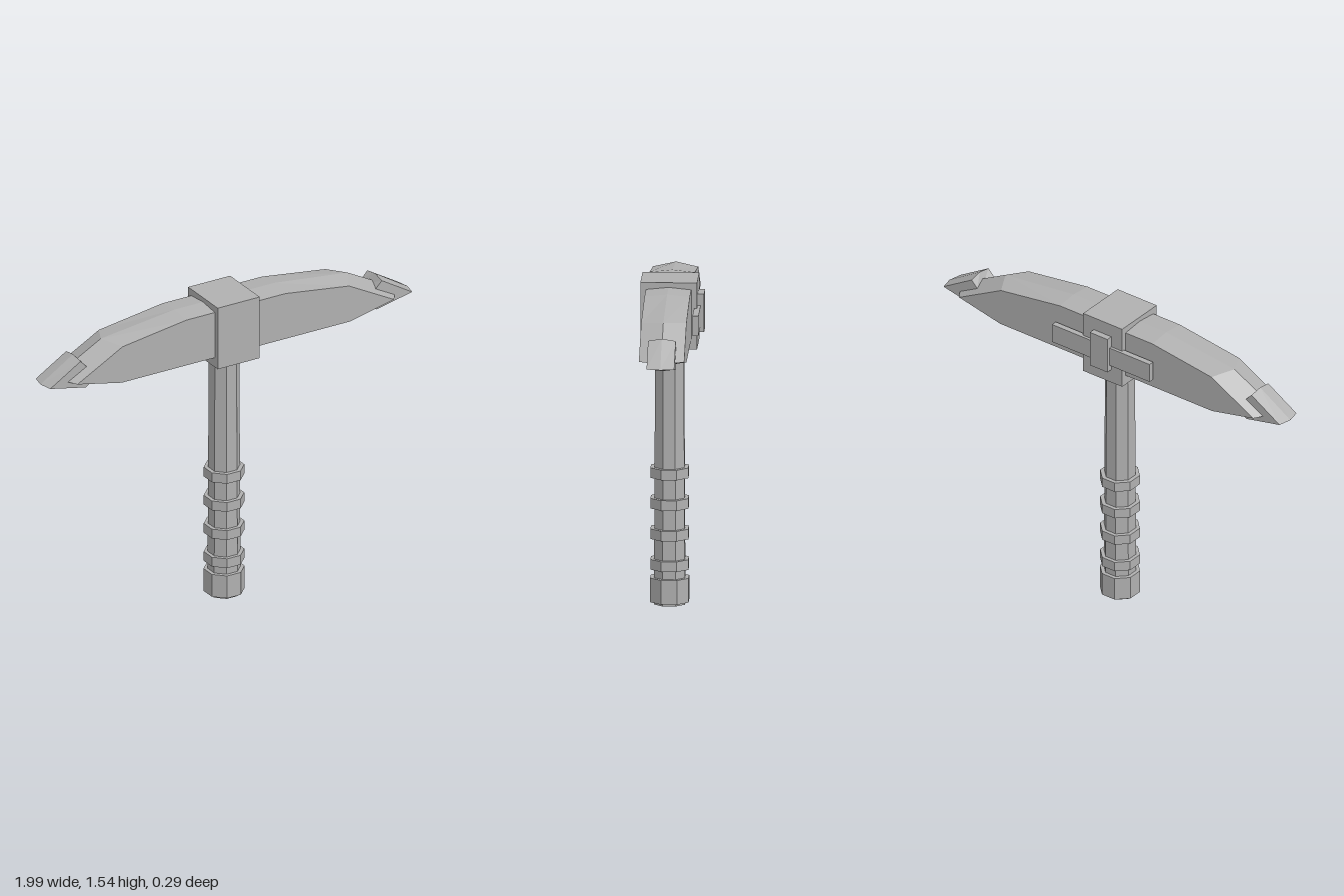
import * as THREE from 'three';

const ZC = 0.012; // depth centre of the tool

// Slab with a raised ridge around its rim: edge outline on both faces, ridge outline mid-way.
// Both outlines run counter-clockwise with the same number of points.
function ridgedSlab(edge, ridge, halfDepth) {
  const layers = [[edge, halfDepth], [ridge, 0], [edge, -halfDepth]];
  const pos = [];
  const put = (layer, i) => {
    const [pts, z] = layers[layer];
    const p = pts[i % pts.length];
    pos.push(p[0], p[1], z);
  };
  const n = edge.length;
  for (let l = 0; l < 2; l++) {
    for (let i = 0; i < n; i++) {
      put(l, i); put(l + 1, i); put(l + 1, i + 1);
      put(l, i); put(l + 1, i + 1); put(l, i + 1);
    }
  }
  const faces = THREE.ShapeUtils.triangulateShape(edge.map(p => new THREE.Vector2(...p)), []);
  for (const [a, b, c] of faces) {
    put(0, a); put(0, b); put(0, c);
    put(2, a); put(2, c); put(2, b);
  }
  const geo = new THREE.BufferGeometry();
  geo.setAttribute('position', new THREE.Float32BufferAttribute(pos, 3));
  geo.computeVertexNormals();
  return geo;
}

// Mirror a right-hand outline (bottom to top) into a closed symmetric outline
const mirrored = half => [...half, ...half.slice().reverse().map(([x, y]) => [-x, y])];

export function createModel() {
  const group = new THREE.Group();
  const grey = new THREE.MeshStandardMaterial({ color: 0xb0b0b0, flatShading: true });
  grey.name = 'stone grey';

  const add = (name, geo, x = 0, y = 0, z = ZC) => {
    const mesh = new THREE.Mesh(geo, grey);
    mesh.name = name;
    mesh.position.set(x, y, z);
    group.add(mesh);
    return mesh;
  };

  // Octagonal prism given by its flat-to-centre distances, flats facing the axes
  const octagon = (name, top, bottom, y0, y1) => {
    const k = 1 / Math.cos(Math.PI / 8);
    const geo = new THREE.CylinderGeometry(top * k, bottom * k, y1 - y0, 8);
    geo.rotateY(Math.PI / 8);
    add(name, geo, 0, (y0 + y1) / 2);
  };

  const box = (name, x0, x1, y0, y1, z0, z1) =>
    add(name, new THREE.BoxGeometry(x1 - x0, y1 - y0, z1 - z0),
      (x0 + x1) / 2, (y0 + y1) / 2, (z0 + z1) / 2);

  // Handle with pommel and grip rings
  octagon('handle', 0.066, 0.072, 0, 1.3);
  octagon('pommel', 0.089, 0.089, 0.012, 0.127);
  for (let i = 0; i < 4; i++) {
    const y = 0.167 + i * 0.145;
    octagon('gripRing', 0.088, 0.088, y, y + 0.048);
  }

  // Double-pointed head
  add('head', ridgedSlab(
    mirrored([[0.62, 1.279], [0.86, 1.331], [0.615, 1.463], [0.27, 1.512]]),
    mirrored([[0.67, 1.272], [0.93, 1.335], [0.67, 1.475], [0.27, 1.523]]),
    0.105));

  // Arrow-shaped caps on both points
  const capEdge = [[0.765, 1.298], [0.79, 1.281], [0.983, 1.322], [0.818, 1.422], [0.786, 1.388]];
  const capRidge = [[0.775, 1.298], [0.79, 1.273], [0.997, 1.322], [0.82, 1.433], [0.795, 1.39]];
  const cap = ridgedSlab(capEdge, capRidge, 0.064);
  add('leftPointCap', cap);
  add('rightPointCap', cap).rotation.y = Math.PI;

  // Collar joining head and handle
  box('collar', -0.114, 0.114, 1.23, 1.545, -0.12, 0.143);

  // Crossed plates on the back
  box('backPlate', -0.285, 0.285, 1.33, 1.425, -0.134, -0.106);
  box('backClasp', -0.051, 0.051, 1.3, 1.48, -0.15, -0.118);

  return group;
}
